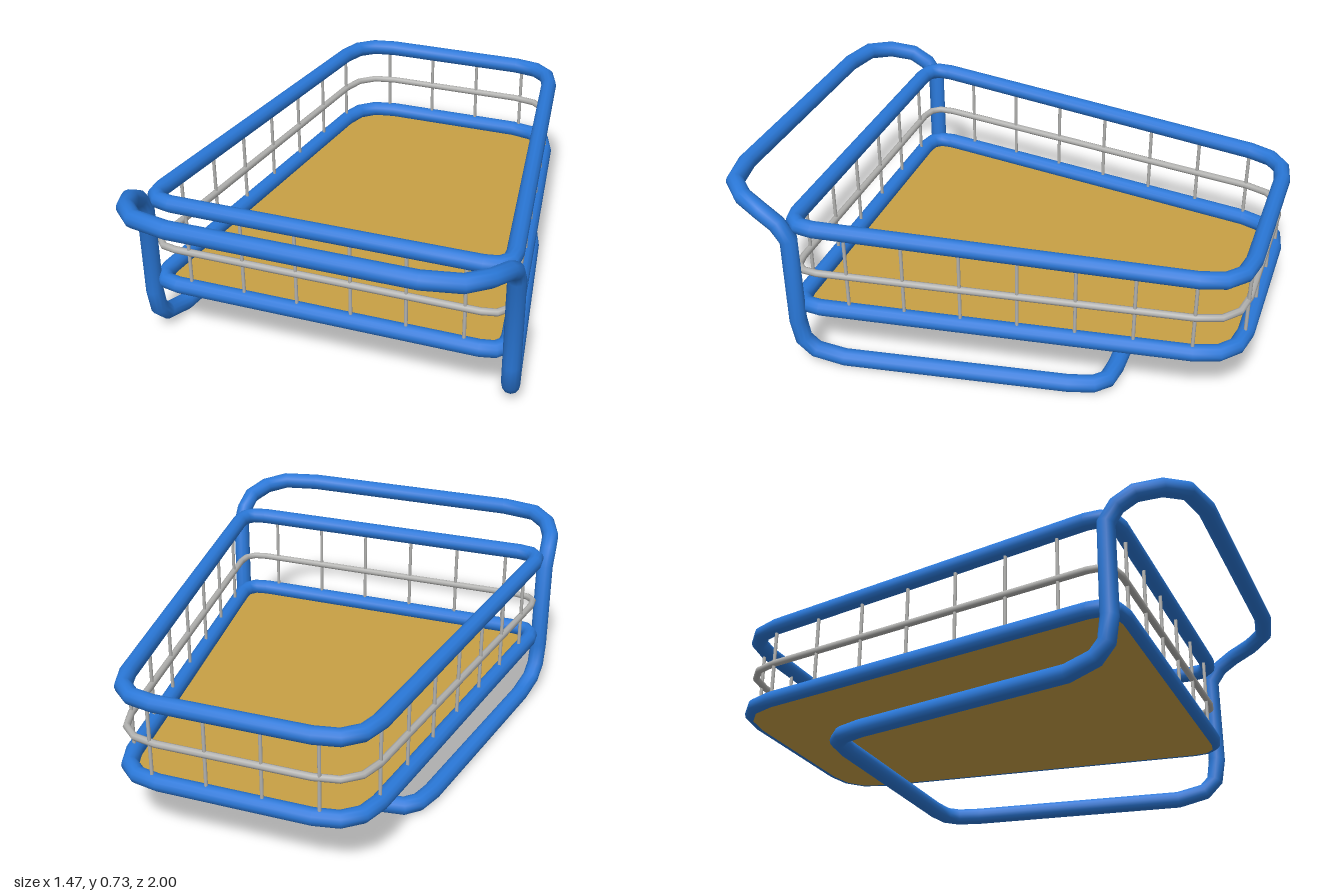
import * as THREE from 'three';

const V = (x, y, z) => new THREE.Vector3(x, y, z);

// Closed polyline whose tangents bisect each bend, so tubes keep their angular corners
class ClosedPolyline extends THREE.Curve {
  constructor(points) {
    super();
    this.points = points;
  }
  at(i) {
    const n = this.points.length;
    return this.points[((i % n) + n) % n];
  }
  getPoint(t) {
    const s = t * this.points.length, i = Math.floor(s + 1e-6);
    return this.at(i).clone().lerp(this.at(i + 1), Math.max(0, s - i));
  }
  getPointAt(t) {
    return this.getPoint(t);
  }
  getTangentAt(t) {
    const i = Math.round(t * this.points.length);
    const a = this.at(i).clone().sub(this.at(i - 1)).normalize();
    const b = this.at(i + 1).clone().sub(this.at(i)).normalize();
    return a.add(b).normalize();
  }
}

// Basket plan: tapered rectangle
const FRONT = 0.683, BACK = -0.967, FRONT_X = 0.687, BACK_X = 0.451;
const sideX = z => BACK_X + (FRONT_X - BACK_X) * (z - BACK) / (FRONT - BACK);
const topY = z => 0.575 + 0.036 * (z - BACK) / (FRONT - BACK);

// Basket outline with rounded corners, as [x, z] pairs
function basketOutline(steps = 3) {
  const corners = [
    [FRONT_X, FRONT, 0.1], [FRONT_X * -1, FRONT, 0.1],
    [-BACK_X, BACK, 0.16], [BACK_X, BACK, 0.16],
  ].map(([x, z, r]) => ({ p: new THREE.Vector2(x, z), r }));
  const out = [];
  corners.forEach(({ p, r }, i) => {
    const toward = q => p.clone().add(q.clone().sub(p).setLength(r));
    const a = toward(corners[(i + 3) % 4].p), b = toward(corners[(i + 1) % 4].p);
    const bend = new THREE.QuadraticBezierCurve(a, p, b);
    bend.getPoints(steps).forEach(q => out.push([q.x, q.y]));
  });
  return out;
}

export function createModel() {
  const model = new THREE.Group();
  model.name = 'basketRack';
  const blue = new THREE.MeshStandardMaterial({ color: 0x2a78d8 });
  const grey = new THREE.MeshStandardMaterial({ color: 0xb2b2b0 });
  const gold = new THREE.MeshStandardMaterial({ color: 0xc8a045 });
  blue.name = 'blue paint';
  grey.name = 'grey wire';
  gold.name = 'golden board';

  const add = (name, geometry, material, parent = model) => {
    const mesh = new THREE.Mesh(geometry, material);
    mesh.name = name;
    parent.add(mesh);
    return mesh;
  };
  const tube = (name, points, radius, sides, material) =>
    add(name, new THREE.TubeGeometry(new ClosedPolyline(points), points.length, radius, sides, true), material);

  // Basket rails and middle wire
  const outline = basketOutline();
  tube('upperRail', outline.map(([x, z]) => V(x, topY(z), z)), 0.032, 12, blue);
  tube('lowerRail', outline.map(([x, z]) => V(x, 0.255, z)), 0.032, 12, blue);
  tube('middleWire', outline.map(([x, z]) => V(x, 0.413, z)), 0.014, 8, grey);

  // Floor board
  const shape = new THREE.Shape(outline.map(([x, z]) => new THREE.Vector2(x, z)));
  const floor = new THREE.ExtrudeGeometry(shape, { depth: 0.008, bevelEnabled: false });
  floor.rotateX(Math.PI / 2);
  add('floorBoard', floor, gold).position.y = 0.232;

  // Upright wires around the basket
  const uprights = new THREE.Group();
  uprights.name = 'uprightWires';
  model.add(uprights);
  const upright = (x, z) => {
    const h = topY(z) - 0.255;
    add('uprightWire', new THREE.CylinderGeometry(0.007, 0.007, h, 8), grey, uprights)
      .position.set(x, 0.255 + h / 2, z);
  };
  for (const s of [-1, 1]) {
    for (const x of [0.105, 0.315, 0.53]) upright(s * x, FRONT);
    for (const x of [0.105, 0.315]) upright(s * x, BACK);
    for (let i = 0; i < 7; i++) {
      const z = 0.47 - i * 0.2125;
      upright(s * sideX(z), z);
    }
  }

  // Handle and foot: one continuous loop, mirrored from its left half
  const half = [
    V(0.45, 0.697, 0.966), V(0.59, 0.696, 0.937), V(0.66, 0.686, 0.865),
    V(0.697, 0.664, 0.775), V(0.703, 0.625, 0.71), V(0.703, 0.565, 0.669),
    V(0.703, 0.2, 0.669), V(0.7, 0.11, 0.655), V(0.692, 0.062, 0.61),
    V(0.672, 0.035, 0.5),
    V(0.535, 0.035, -0.36), V(0.508, 0.035, -0.45), V(0.465, 0.035, -0.492),
    V(0.38, 0.035, -0.503),
  ];
  const mirrored = half.map(p => V(-p.x, p.y, p.z)).reverse();
  tube('handleAndFootLoop', [...half, ...mirrored], 0.034, 12, blue);

  return model;
}
